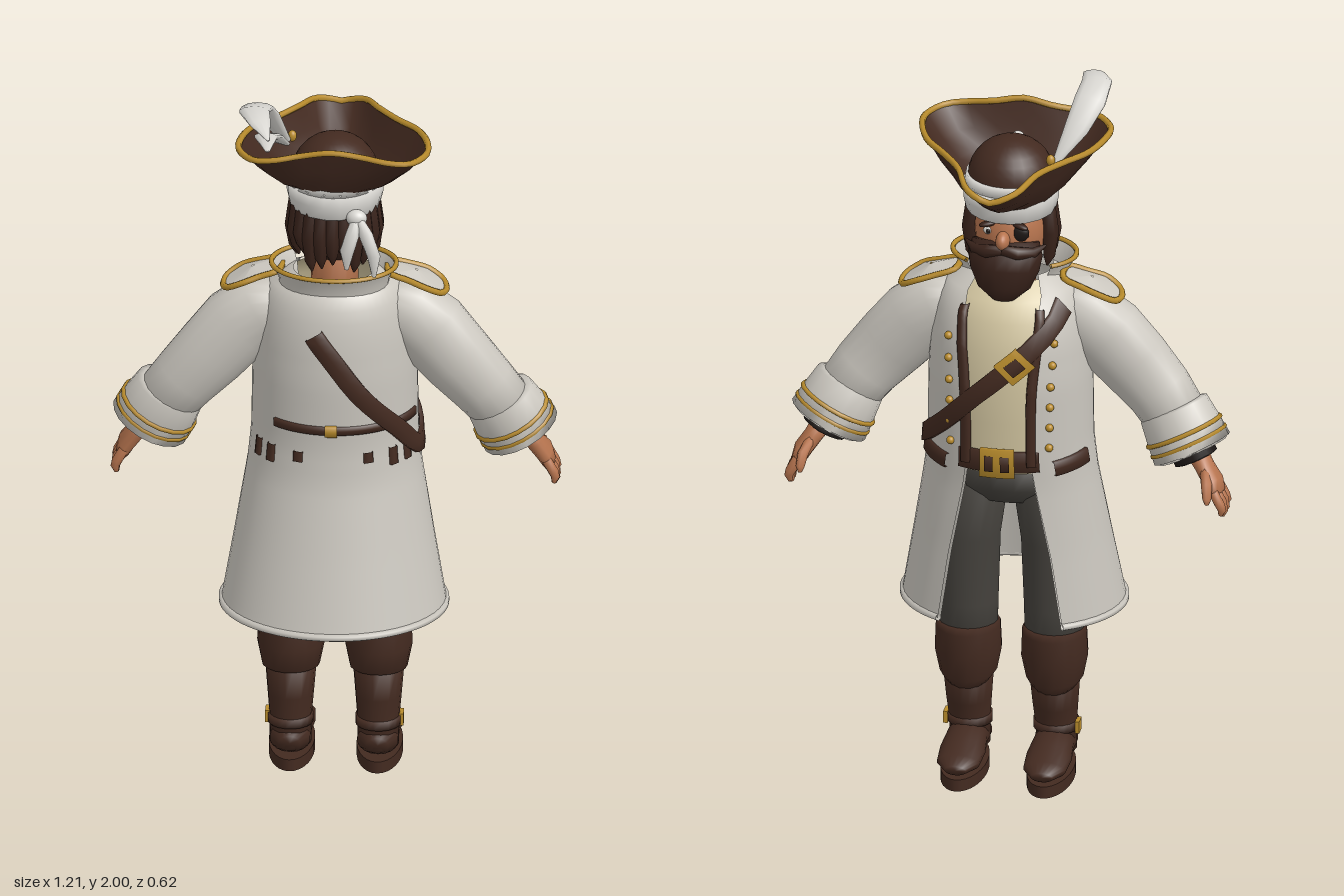
import * as THREE from 'three';

const mat = (name, color) => {
  const m = new THREE.MeshStandardMaterial({ color, side: THREE.DoubleSide });
  m.name = name;
  return m;
};
const V = (x, y, z) => new THREE.Vector3(x, y, z);

// Coat cross-sections: y, half width, centre z, half depth, half width of the front opening
const BODY = [
  [0.5, 0.303, 0.05, 0.25, 0.17], [0.7, 0.268, 0.03, 0.22, 0.14], [0.9, 0.235, 0.008, 0.194, 0.1],
  [1.0, 0.225, 0, 0.193, 0.085], [1.2, 0.222, 0, 0.2, 0.09], [1.32, 0.215, 0.003, 0.19, 0.1],
  [1.4, 0.2, 0.01, 0.17, 0.1], [1.45, 0.17, 0.02, 0.135, 0.1], [1.48, 0.11, 0.03, 0.09, 0.08],
];
function section(y) {
  let i = 0;
  while (i < BODY.length - 2 && y > BODY[i + 1][0]) i++;
  const a = BODY[i], b = BODY[i + 1], t = (y - a[0]) / (b[0] - a[0]);
  return a.map((v, k) => v + (b[k] - v) * t);
}
// Point on the body; angle 0 is the chest, PI the back
function onBody(angle, y, off = 0) {
  const [, rx, zc, rz] = section(y);
  return V((rx + off) * Math.sin(angle), y, zc - (rz + off) * Math.cos(angle));
}
const gapAngle = (y) => { const s = section(y); return Math.asin(Math.min(0.9, s[4] / s[1])); };

// Skin through rows of points
function loft(rows, closed = true, cap = false) {
  const n = rows[0].length, pts = rows.flat(), index = [];
  for (let i = 0; i < rows.length - 1; i++)
    for (let j = 0; j < (closed ? n : n - 1); j++) {
      const a = i * n + j, b = i * n + (j + 1) % n;
      index.push(a, b, a + n, b, b + n, a + n);
    }
  if (cap) [0, rows.length - 1].forEach((r) => {
    const c = pts.length;
    pts.push(rows[r].reduce((s, p) => s.add(p), V(0, 0, 0)).divideScalar(n));
    for (let j = 0; j < n; j++) {
      const a = r * n + j, b = r * n + (j + 1) % n;
      r ? index.push(a, b, c) : index.push(b, a, c);
    }
  });
  const g = new THREE.BufferGeometry().setFromPoints(pts);
  g.setIndex(index);
  g.computeVertexNormals();
  return g;
}

// Elliptical tube through [x, y, z, r, rAlongRef]
function limb(path, ref = V(0, 0, 1), sides = 18, cap = true) {
  const p = path.map((a) => V(a[0], a[1], a[2]));
  return loft(path.map((a, i) => {
    const t = p[Math.min(i + 1, p.length - 1)].clone().sub(p[Math.max(i - 1, 0)]).normalize();
    const w = ref.clone().addScaledVector(t, -ref.dot(t)).normalize();
    const u = t.clone().cross(w);
    return Array.from({ length: sides }, (_, k) => {
      const f = k / sides * Math.PI * 2;
      return p[i].clone().addScaledVector(u, a[3] * Math.cos(f)).addScaledVector(w, (a[4] ?? a[3]) * Math.sin(f));
    });
  }), true, cap);
}

// Flat band lying on the body along [angle, y]
function band(path, width, off = 0.01) {
  const c = new THREE.CatmullRomCurve3(path.map(([a, y]) => V(a * 0.21, y, 0)));
  return loft(c.getPoints(30).map((p, i) => {
    const t = c.getTangent(i / 30);
    return [-1, -0.98, 0, 0.98, 1].map((k) => onBody((p.x - t.y * k * width / 2) / 0.21,
      p.y + t.x * k * width / 2, Math.abs(k) === 1 ? off - 0.012 : off));
  }), false);
}
const tube = (pts, r, closed = false) =>
  new THREE.TubeGeometry(new THREE.CatmullRomCurve3(pts, closed), pts.length * 3, r, 6, closed);

export function createModel() {
  const root = new THREE.Group();
  const coat = mat('coatWhite', 0xcbc7bf), cloth = mat('clothWhite', 0xd8d6d1), brown = mat('leatherBrown', 0x432a20),
    hair = mat('hairBrown', 0x38221a), gold = mat('gold', 0xb98c2c), skin = mat('skin', 0xb8754f),
    cream = mat('vestCream', 0xd2c5a0), grey = mat('trouserGrey', 0x45423d), dark = mat('black', 0x1c1715);
  const add = (name, g, m, pos, scale, rot) => {
    const o = new THREE.Mesh(g, m);
    o.name = name;
    if (pos) o.position.set(...pos);
    if (scale) o.scale.set(...scale);
    if (rot) o.rotation.set(...rot);
    root.add(o);
    return o;
  };
  const ball = new THREE.SphereGeometry(1, 24, 16), box = new THREE.BoxGeometry(1, 1, 1);

  // Long coat, open in front
  const levels = Array.from({ length: 30 }, (_, i) => 0.5 + i * 0.98 / 29);
  const around = (y, off, k = 40) => Array.from({ length: k + 1 }, (_, j) => {
    const g = gapAngle(y);
    return onBody(g + (2 * Math.PI - 2 * g) * j / k, y, off);
  });
  add('coat', loft(levels.map((y) => around(y, 0)), false), coat);
  add('coatLining', loft(levels.filter((y) => y < 1.1).map((y) => around(y, -0.012)), false), coat);
  add('coatHem', tube(around(0.5, -0.003), 0.011), coat);
  const chest = [0.95, 1, 1.1, 1.2, 1.3, 1.38, 1.43, 1.47];
  add('vest', loft(chest.map((y) => Array.from({ length: 17 }, (_, j) => onBody(-1 + j / 8, y, -0.012))), false), cream);

  // Collar with gold edge
  const collar = (rx, rz, y) => Array.from({ length: 25 }, (_, j) => {
    const a = 0.75 + j / 24 * (2 * Math.PI - 1.5);
    return V(rx * Math.sin(a), y, 0.055 - rz * Math.cos(a));
  });
  add('collar', loft([collar(0.145, 0.095, 1.43), collar(0.15, 0.1, 1.47), collar(0.168, 0.12, 1.508)], false), coat);
  add('collarEdge', tube(collar(0.168, 0.12, 1.508), 0.007), gold);

  // Straps, belt and fastenings
  add('sash', band([[-0.95, 1.42], [-0.35, 1.31], [0.2, 1.2], [0.75, 1.08], [1.3, 1.0], [1.8, 0.97],
    [2.3, 1.06], [2.74, 1.16], [3.12, 1.28], [3.36, 1.35]], 0.05, 0.014), brown);
  add('sashBuckle', band([[-0.34, 1.305], [-0.08, 1.255]], 0.07, 0.02), gold);
  add('sashBuckleCentre', band([[-0.28, 1.293], [-0.14, 1.267]], 0.036, 0.024), brown);
  add('belt', band([[-0.5, 0.99], [0, 0.99], [0.5, 0.99]], 0.06, 0.004), brown);
  add('beltBuckle', band([[-0.2, 0.99], [0.2, 0.99]], 0.085, 0.014), gold);
  for (const a of [-0.09, 0.09]) add('buckleSlot', band([[a - 0.05, 0.99], [a + 0.05, 0.99]], 0.045, 0.018), brown);
  add('backBelt', band([[Math.PI - 1.3, 1.07], [Math.PI, 1.07], [Math.PI + 0.75, 1.07]], 0.024, 0.006), brown);
  add('backBeltClasp', band([[Math.PI - 0.07, 1.07], [Math.PI + 0.07, 1.07]], 0.03, 0.012), gold);
  for (const x of [-0.2, -0.165, -0.09, 0.1, 0.165, 0.2]) {
    const a = Math.PI - Math.asin(x / 0.23), h = Math.abs(x) > 0.12 ? 0.05 : 0.03;
    add('coatTab', band([[a, 1.0], [a, 1.0 - h]], 0.024, 0.006), brown);
  }

  for (const s of [-1, 1]) {
    // Coat front trim, buttons and pocket flaps
    add('frontTrim', band([0.98, 1.08, 1.2, 1.3, 1.42].map((y) => [s * gapAngle(y), y]), 0.024), brown);
    for (let i = 0; i < 6; i++) {
      const y = 1.03 + i * 0.06, p = onBody(s * (gapAngle(y) + 0.24), y, 0.004);
      add('button', ball, gold, p.toArray(), [0.011, 0.011, 0.011]);
    }
    add('pocketFlap', band([[s * 0.68, 0.965], [s * 1.25, 0.975]], 0.042), brown);

    // Sleeve, turned cuff and its stripes
    add('sleeve', limb([[s * 0.12, 1.38, 0.02, 0.07, 0.075], [s * 0.2, 1.35, 0.02, 0.1, 0.085], [s * 0.26, 1.3, 0.022, 0.107, 0.085],
      [s * 0.33, 1.22, 0.03, 0.102, 0.08], [s * 0.4, 1.14, 0.028, 0.093, 0.075], [s * 0.46, 1.06, 0.01, 0.085, 0.078]]), coat);
    const cuff = (t, r) => [s * (0.44 + 0.06 * t), 1.1 - 0.115 * t, 0.015 - 0.025 * t, r, r * 0.88];
    add('cuff', limb([cuff(0, 0.08), cuff(0.04, 0.098), cuff(0.5, 0.106), cuff(0.95, 0.112), cuff(1, 0.1), cuff(0.92, 0.07)]), coat);
    for (const t of [0.5, 0.72])
      add('cuffStripe', limb([cuff(t, 0.104), cuff(t + 0.02, 0.112), cuff(t + 0.08, 0.113), cuff(t + 0.1, 0.106)], undefined, 18, false), gold);
    add('innerSleeve', limb([cuff(0.7, 0.06), cuff(1.15, 0.062), cuff(1.18, 0.05)]), dark);

    // Hand with four fingers and a thumb
    add('palm', limb([[s * 0.51, 0.99, -0.015, 0.03, 0.033], [s * 0.535, 0.95, -0.025, 0.026, 0.033],
      [s * 0.56, 0.915, -0.038, 0.026, 0.046], [s * 0.572, 0.885, -0.044, 0.02, 0.046]], undefined, 12), skin);
    for (let f = 0; f < 4; f++) {
      const z = -0.08 + f * 0.025, d = (f === 1 || f === 2) ? 0 : 0.012;
      add('finger', limb([[s * 0.568, 0.9, z, 0.014], [s * 0.587, 0.865, z - 0.002, 0.014],
        [s * 0.592, 0.838 + d, z, 0.012], [s * 0.588, 0.822 + d, z, 0.006]], undefined, 8), skin);
    }
    add('thumb', limb([[s * 0.54, 0.945, -0.05, 0.014], [s * 0.552, 0.92, -0.09, 0.015], [s * 0.556, 0.89, -0.108, 0.012],
      [s * 0.556, 0.875, -0.11, 0.005]], V(1, 0, 0), 8), skin);

    // Shoulder board with gold rim
    const rim = [[0.15, -0.03], [0.2, -0.045], [0.25, -0.05], [0.29, -0.03], [0.3, 0.01], [0.29, 0.05], [0.25, 0.07], [0.2, 0.06], [0.15, 0.05]]
      .map(([x, z]) => V(s * x, 1.475 - (x - 0.15) * 0.3 - (x > 0.24 ? (x - 0.24) * 0.25 : 0), z));
    add('shoulderBoard', loft([rim, rim.map((p) => p.clone().lerp(V(s * 0.22, 1.47, 0.01), 0.95))]), coat);
    add('shoulderBoardEdge', tube(rim, 0.009, true), gold);

    // Trouser leg
    const x = s * 0.118;
    add('trouserLeg', limb([[x, 0.38, 0.005, 0.08], [x, 0.5, 0.005, 0.083], [x, 0.7, 0, 0.09], [s * 0.1, 0.9, 0, 0.1]]), grey);
    // Boot
    add('bootShaft', limb([[x, 0.06, 0.03, 0.056, 0.055], [x, 0.13, 0.03, 0.056, 0.052], [x, 0.2, 0.02, 0.062, 0.066], [x, 0.3, 0.012, 0.07, 0.08]]), brown);
    add('bootCuff', limb([[x, 0.28, 0.015, 0.066, 0.078], [x, 0.285, 0.012, 0.078, 0.088], [x, 0.35, 0.008, 0.091, 0.095],
      [x, 0.42, 0.005, 0.088, 0.095], [x, 0.435, 0.005, 0.08, 0.085]]), brown);
    add('bootFoot', limb([[x, 0.075, 0.085, 0.025, 0.03], [x, 0.08, 0.06, 0.045, 0.055], [x, 0.085, -0.01, 0.05, 0.056],
      [x, 0.075, -0.07, 0.036, 0.062], [x, 0.066, -0.14, 0.026, 0.058], [x, 0.06, -0.178, 0.014, 0.03]], V(1, 0, 0)), brown);
    add('bootSole', new THREE.CylinderGeometry(1, 1, 0.034, 28), brown, [x, 0.017, -0.04], [0.062, 1, 0.14]);
    add('ankleStrap', limb([[x, 0.12, 0.03, 0.062, 0.058], [x, 0.145, 0.03, 0.062, 0.06]]), brown);
    add('ankleBuckle', box, gold, [x + s * 0.062, 0.132, 0.02], [0.012, 0.034, 0.036]);
  }
  add('hips', limb([[0, 0.82, 0, 0.12, 0.08], [0, 0.87, 0, 0.18, 0.12], [0, 0.98, 0, 0.19, 0.15]]), grey);

  // Head
  add('neck', limb([[0, 1.42, 0.02, 0.065], [0, 1.56, 0.01, 0.06]]), skin);
  add('head', ball, skin, [0, 1.61, -0.005], [0.096, 0.13, 0.108]);
  add('nose', ball, skin, [0, 1.612, -0.118], [0.019, 0.026, 0.03]);
  for (const s of [-1, 1]) {
    add('ear', ball, skin, [s * 0.1, 1.605, 0.005], [0.014, 0.03, 0.022]);
    add('eyebrow', ball, hair, [s * 0.043, 1.652, -0.1], [0.026, 0.008, 0.012], [0, s * 0.4, s * -0.15]);
    add('moustache', limb([[0, 1.59, -0.13, 0.014], [s * 0.04, 1.583, -0.128, 0.019], [s * 0.08, 1.575, -0.1, 0.015],
      [s * 0.11, 1.59, -0.075, 0.003]], undefined, 8), hair);
  }
  add('eye', ball, cloth, [0.042, 1.63, -0.094], [0.016, 0.012, 0.01]);
  add('pupil', ball, dark, [0.043, 1.63, -0.103], [0.006, 0.007, 0.004]);
  add('eyePatch', ball, dark, [-0.042, 1.628, -0.095], [0.026, 0.024, 0.013]);
  add('beard', limb([[0, 1.595, -0.07, 0.092, 0.04], [0, 1.56, -0.08, 0.102, 0.062], [0, 1.52, -0.09, 0.095, 0.062],
    [0, 1.47, -0.1, 0.072, 0.05], [0, 1.435, -0.105, 0.03, 0.025]]), hair);
  add('hairCap', ball, hair, [0, 1.625, 0.025], [0.104, 0.12, 0.098]);
  for (let i = 0; i < 13; i++) {
    const a = -1.75 + i * 3.5 / 12, x = Math.sin(a), z = Math.cos(a), low = 1.5 + (i * 5 % 4) * 0.014;
    add('hairLock', limb([[x * 0.1, 1.68, 0.01 + z * 0.092, 0.024], [x * 0.112, 1.6, 0.01 + z * 0.102, 0.023],
      [x * 0.108, low + 0.03, 0.01 + z * 0.108, 0.016], [x * 0.102, low, 0.01 + z * 0.104, 0.003]], undefined, 7), hair);
  }
  add('earring', new THREE.TorusGeometry(0.014, 0.004, 6, 14), gold, [-0.114, 1.565, 0.005], null, [0, Math.PI / 2, 0]);

  // Head scarf with knotted tails
  add('headScarf', limb([[0, 1.66, 0.005, 0.108, 0.112], [0, 1.665, 0.005, 0.122, 0.124], [0, 1.7, 0.004, 0.13, 0.13], [0, 1.74, 0.003, 0.13, 0.128]]), cloth);
  add('scarfKnot', ball, cloth, [0.065, 1.675, 0.125], [0.028, 0.024, 0.022]);
  for (const [x, y, z] of [[0.04, 1.54, 0.165], [0.115, 1.53, 0.185]])
    add('scarfTail', limb([[0.065, 1.685, 0.125, 0.01, 0.01], [(x + 0.07) / 2, 1.64, 0.16, 0.009, 0.02], [x, 1.59, z, 0.009, 0.02],
      [x, y, z, 0.004, 0.006]], V(1, 0, 0.4).normalize(), 8), cloth);

  // Three-cornered hat: x, y, z of one half of the rim
  const half = [[0.035, 1.82, -0.302], [0.07, 1.832, -0.275], [0.108, 1.85, -0.19], [0.165, 1.855, -0.11], [0.22, 1.86, -0.045],
    [0.25, 1.865, 0.04], [0.252, 1.864, 0.11], [0.21, 1.866, 0.175], [0.155, 1.872, 0.187], [0.08, 1.884, 0.18]].map((p) => V(...p));
  const rim = [V(0, 1.81, -0.308), ...half, V(0, 1.897, 0.185), ...half.slice().reverse().map((p) => V(-p.x, p.y, p.z))];
  const brimRow = (t, bow) => rim.map((p) => {
    const d = V(p.x, 0, p.z).setLength(0.125);
    d.y = 1.725 + 0.15 * d.z;
    const q = d.lerp(p, t);
    q.y -= bow;
    return q;
  });
  add('hatBrim', loft([brimRow(0, 0), brimRow(0.3, 0.014), brimRow(0.65, 0.014), rim]), brown);
  add('hatEdge', tube(rim, 0.009, true), gold);
  add('hatCrown', ball, brown, [0, 1.75, 0.005], [0.118, 0.115, 0.118]);
  add('crownBand', limb([[0, 1.735, 0.005, 0.128], [0, 1.765, 0.005, 0.122]], undefined, 24), cloth);
  add('crownStud', ball, cloth, [0, 1.82, 0.1], [0.018, 0.018, 0.016]);

  // Feathers
  add('feather', limb([[-0.13, 1.82, -0.04, 0.006, 0.01], [-0.18, 1.91, 0.0, 0.014, 0.035], [-0.205, 1.965, 0.06, 0.016, 0.045],
    [-0.21, 1.99, 0.13, 0.014, 0.042], [-0.19, 1.985, 0.19, 0.01, 0.03], [-0.165, 1.96, 0.245, 0.003, 0.004]], V(1, 0, 0), 10), cloth);
  add('smallFeather', limb([[-0.13, 1.82, -0.02, 0.005, 0.008], [-0.165, 1.875, 0.05, 0.011, 0.03], [-0.18, 1.905, 0.11, 0.011, 0.032],
    [-0.17, 1.905, 0.2, 0.003, 0.006]], V(1, 0, 0), 10), cloth);
  add('featherPin', ball, gold, [-0.118, 1.83, -0.05], [0.012, 0.016, 0.012]);
  return root;
}
